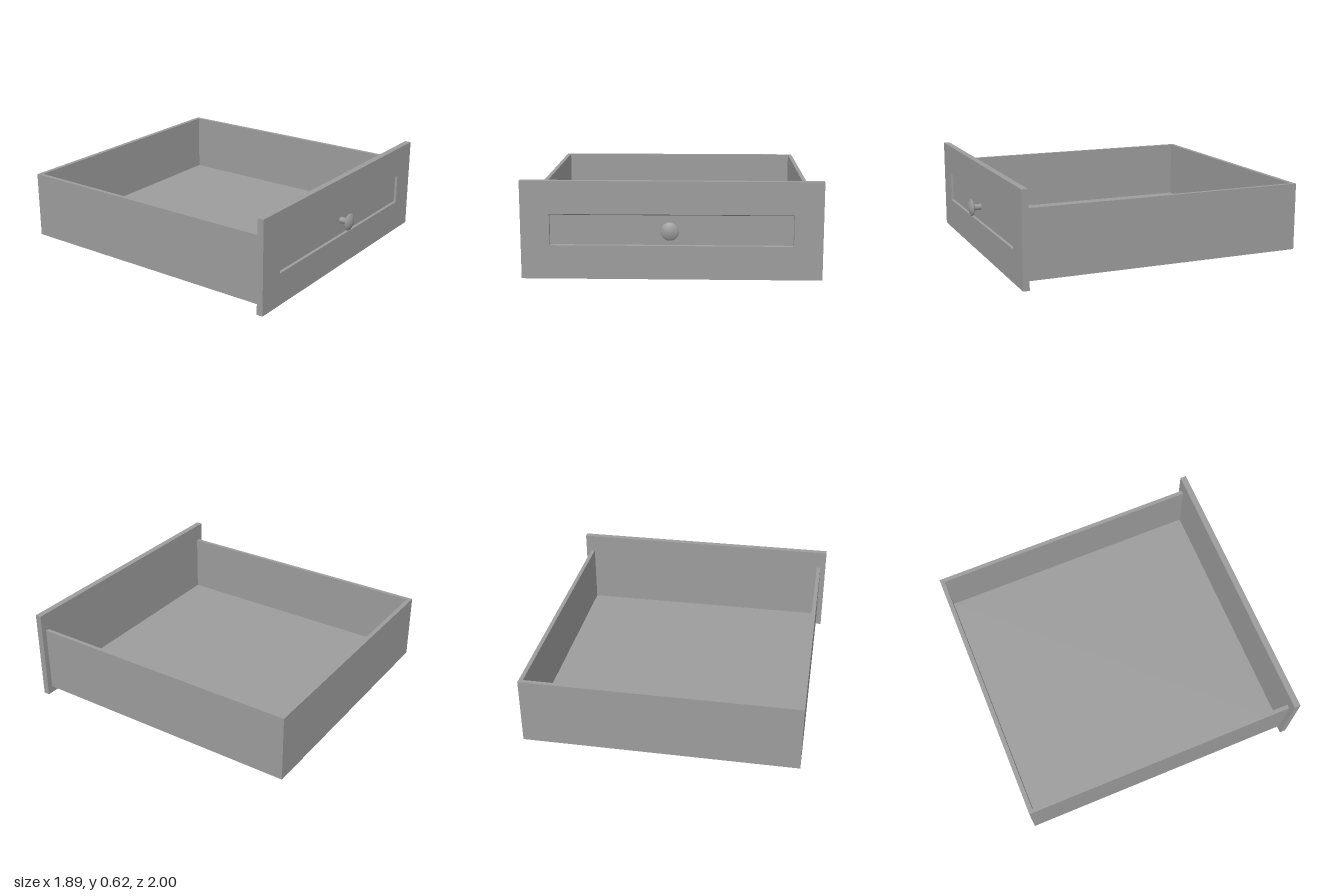
import * as THREE from 'three';

const material = new THREE.MeshStandardMaterial({ color: 0x9c9c9c });

function add(group, name, geometry, x = 0, y = 0, z = 0) {
  const mesh = new THREE.Mesh(geometry, material);
  mesh.name = name;
  mesh.position.set(x, y, z);
  group.add(mesh);
  return mesh;
}

// Box given by its minimum and maximum corners
function addBox(group, name, [x0, y0, z0], [x1, y1, z1]) {
  const geometry = new THREE.BoxGeometry(x1 - x0, y1 - y0, z1 - z0);
  return add(group, name, geometry, (x0 + x1) / 2, (y0 + y1) / 2, (z0 + z1) / 2);
}

// Front board: rectangular loops from the back, round the rim, into the recess
function frontPanelGeometry() {
  const loops = [ // half width, bottom, top, z
    [0.945, 0, 0.625, 0.89],
    [0.945, 0, 0.625, 0.932],
    [0.763, 0.216, 0.416, 0.932],
    [0.761, 0.219, 0.408, 0.915],
  ];
  const points = loops.flatMap(([w, b, t, z]) => [-w, b, z, w, b, z, w, t, z, -w, t, z]);
  const index = [0, 2, 1, 0, 3, 2]; // back face
  for (let i = 0; i < loops.length - 1; i++) {
    for (let j = 0; j < 4; j++) {
      const a = i * 4 + j, b = i * 4 + (j + 1) % 4;
      index.push(a, b, b + 4, a, b + 4, a + 4);
    }
  }
  index.push(12, 13, 14, 12, 14, 15); // recess floor
  const indexed = new THREE.BufferGeometry();
  indexed.setAttribute('position', new THREE.Float32BufferAttribute(points, 3));
  indexed.setIndex(index);
  const geometry = indexed.toNonIndexed();
  geometry.computeVertexNormals();
  return geometry;
}

export function createModel() {
  const drawer = new THREE.Group();
  drawer.name = 'drawer';

  // Open box: sides, back and a floor set slightly above the lower edge
  const w = 0.907, t = 0.027, bottom = 0.048, top = 0.5, front = 0.89;
  addBox(drawer, 'leftSide', [w - t, bottom, -1], [w, top, front]);
  addBox(drawer, 'rightSide', [-w, bottom, -1], [-w + t, top, front]);
  addBox(drawer, 'backWall', [-w + t, bottom, -1], [w - t, top, -0.97]);
  addBox(drawer, 'floor', [-w + t, 0.066, -0.97], [w - t, 0.092, front]);

  add(drawer, 'frontPanel', frontPanelGeometry());

  // Mushroom knob, turned to point forward
  const profile = [
    [0.021, 0], [0.021, 0.052], [0.035, 0.054], [0.052, 0.058], [0.058, 0.063],
    [0.057, 0.068], [0.045, 0.075], [0.03, 0.08], [0.015, 0.084], [0, 0.085],
  ].map(([r, y]) => new THREE.Vector2(r, y));
  const knob = add(drawer, 'knob', new THREE.LatheGeometry(profile, 32), -0.008, 0.32, 0.915);
  knob.rotation.x = Math.PI / 2;

  return drawer;
}
